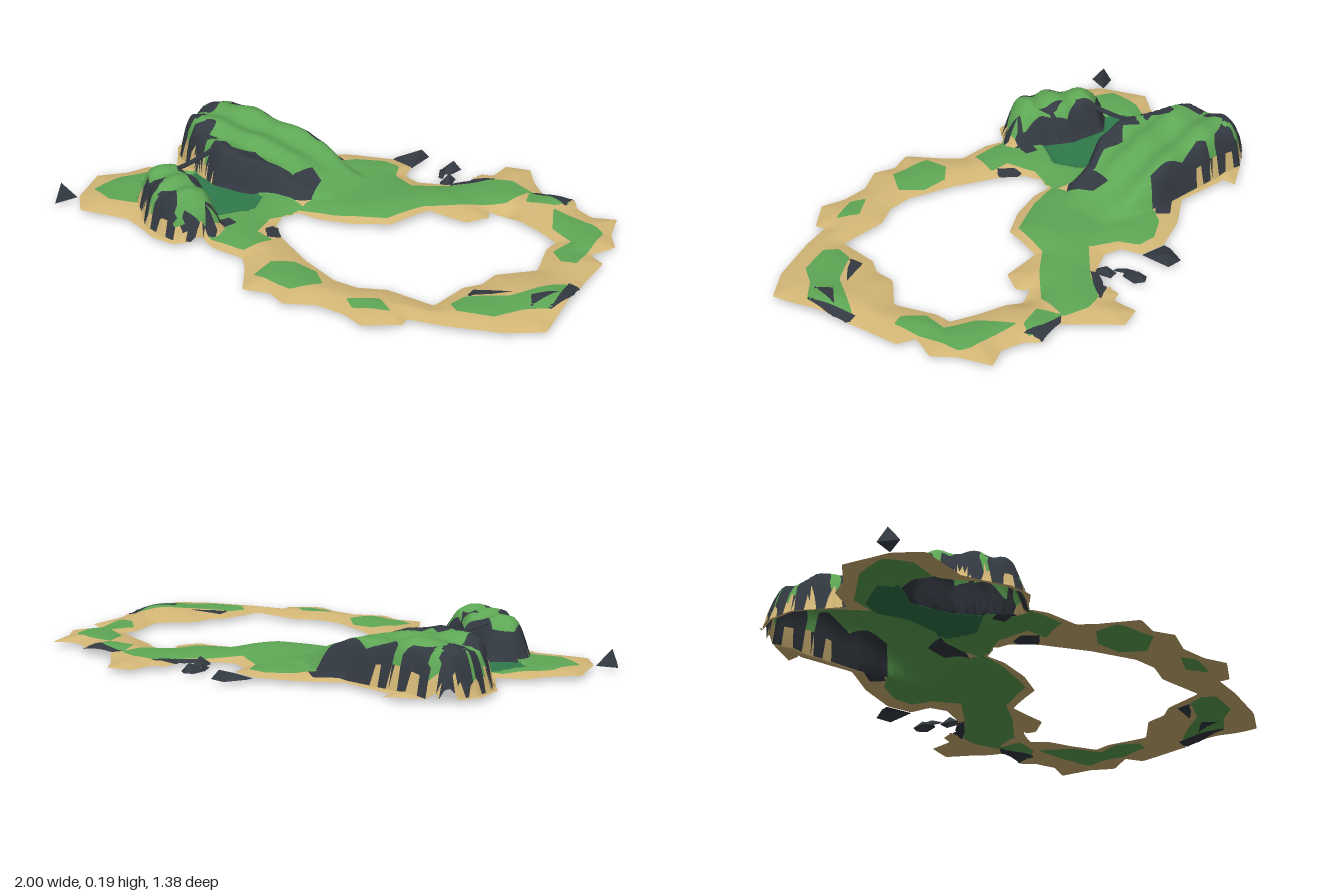
import * as THREE from 'three';

const paint = (name, color) => Object.assign(new THREE.MeshStandardMaterial({ color }), { name });

// Outline from a flat list of x, z pairs, with inside and nearest-edge tests
function outline(...n) {
  const p = [];
  for (let i = 0; i < n.length; i += 2) p.push([n[i], n[i + 1]]);
  const inside = (x, z) => {
    let hit = false;
    p.forEach(([ax, az], i) => {
      const [bx, bz] = p[(i + 1) % p.length];
      if ((az > z) !== (bz > z) && x < ax + (bx - ax) * (z - az) / (bz - az)) hit = !hit;
    });
    return hit;
  };
  const nearest = (x, z) => {
    const best = { d: Infinity, x, z, along: 0 };
    let run = 0;
    p.forEach(([ax, az], i) => {
      const [bx, bz] = p[(i + 1) % p.length], dx = bx - ax, dz = bz - az;
      const len = Math.hypot(dx, dz);
      const t = Math.min(1, Math.max(0, ((x - ax) * dx + (z - az) * dz) / (len * len)));
      const qx = ax + dx * t, qz = az + dz * t, d = Math.hypot(x - qx, z - qz);
      if (d < best.d) Object.assign(best, { d, x: qx, z: qz, along: run + t * len });
      run += len;
    });
    return best;
  };
  return { inside, nearest };
}

// Shoreline and lagoon
const shore = outline(-.94, -.18, -.85, -.25, -.73, -.33, -.72, -.28, -.5, -.27, -.37, -.37, -.22, -.44, -.12, -.43,
  -.09, -.355, -.02, -.34, .07, -.39, .12, -.48, .12, -.55, .165, -.57, .155, -.665, .245, -.7, .31, -.63, .41, -.55,
  .53, -.585, .57, -.54, .65, -.52, .73, -.565, .78, -.45, .845, -.38, .81, -.275, .88, -.25, .905, -.105, .945, .055,
  1, .265, .89, .36, .705, .45, .59, .49, .605, .525, .5, .62, .41, .6, .3, .61, .2, .675, .12, .65, .03, .69,
  -.065, .575, -.12, .525, -.25, .535, -.32, .515, -.385, .605, -.475, .615, -.58, .585, -.65, .57, -.835, .63,
  -.92, .555, -.995, .39, -.925, .295, -.9, .21, -.81, .15, -.89, .06, -.94, .01, -.965, -.105);
const lagoon = outline(-.2, .135, -.12, .13, .01, .08, .125, 0, .165, -.175, .32, -.195, .36, -.28, .33, -.32,
  .385, -.345, .555, -.31, .66, -.275, .665, -.21, .73, -.065, .635, .055, .64, .135, .605, .2, .605, .36,
  .415, .375, .325, .43, .23, .44, .06, .395, -.12, .32, -.2, .26, -.22, .2);

// Feet of the two hills
const bigFoot = outline(-.95, -.1, -.93, -.2, -.85, -.25, -.7, -.255, -.5, -.255, -.38, -.268, -.3, -.25, -.15, -.22,
  -.13, -.02, -.2, .04, -.25, .08, -.36, .1, -.45, .16, -.58, .18, -.7, .15, -.8, .11, -.88, .06, -.93, -.01);
const smallFoot = outline(-.73, .36, -.65, .29, -.5, .31, -.385, .375, -.3, .42, -.29, .47, -.33, .54, -.4, .59,
  -.47, .59, -.56, .57, -.62, .52, -.7, .47, -.735, .42);

// Coloured areas
const hollow = outline(-.77, .2, -.81, .325, -.72, .37, -.4, .38, -.325, .235, -.37, .14, -.62, .1);
const lowland = outline(-.81, .19, -.9, .35, -.91, .49, -.8, .52, -.67, .47, -.5, .5, -.27, .5, -.15, .49, -.12, .365,
  -.2, .36, -.24, .25, -.2, .1, -.3, .08, -.6, .1);
const meadow = outline(-.83, -.1, -.85, -.15, -.8, -.18, -.75, -.2, -.72, -.23, -.66, -.19, -.55, -.22, -.48, -.2,
  -.4, -.2, -.36, -.25, -.315, -.33, -.225, -.39, -.15, -.39, -.11, -.32, 0, -.28, .12, -.41, .2, -.53, .27, -.555,
  .37, -.53, .35, -.4, .245, -.28, .14, -.185, .095, -.015, -.075, .08, -.21, .125, -.22, .03, -.25, -.05,
  -.31, -.07, -.33, .02, -.42, .06, -.5, .04, -.56, .1, -.64, .06, -.7, .08, -.72, .01, -.8, .02, -.83, -.04);
const smallTop = outline(-.7, .38, -.64, .33, -.58, .37, -.5, .34, -.42, .4, -.34, .42, -.36, .46, -.32, .5,
  -.41, .55, -.46, .5, -.53, .53, -.56, .45, -.62, .48, -.68, .43);
const grassPatches = [
  outline(.52, -.46, .72, -.45, .76, -.43, .79, -.3, .82, -.17, .77, -.15, .7, -.2, .71, -.3, .6, -.34),
  outline(.37, -.52, .42, -.56, .54, -.54, .51, -.48, .41, -.44),
  outline(.88, -.02, .94, .02, .94, .15, .87, .22, .82, .31, .7, .36, .65, .33, .66, .26, .78, .17, .84, .06),
  outline(-.01, .5, .05, .44, .15, .44, .23, .5, .17, .6, 0, .6),
  outline(.36, .53, .45, .46, .53, .5, .41, .56),
];
const rockPatches = [
  outline(.06, -.42, .13, -.5, .2, -.54, .17, -.48, .1, -.39),
  outline(.37, -.52, .42, -.565, .52, -.585, .54, -.51, .46, -.53),
  outline(.88, -.04, .925, -.05, .94, .02, .94, .17, .92, .09),
  outline(.84, .13, .9, .05, .88, .18),
  outline(.65, .2, .77, .14, .72, .2, .66, .25),
  outline(-.2, .28, -.15, .27, -.12, .33, -.15, .36, -.2, .32),
  outline(-.36, .39, -.35, .35, -.3, .36, -.31, .42),
  outline(-.48, -.24, -.39, -.315, -.34, -.29, -.4, -.22),
  outline(-.53, .39, -.46, .37, -.42, .42, -.48, .41),
];
const regions = [shore, lagoon, bigFoot, smallFoot, hollow, lowland, meadow, smallTop, ...grassPatches, ...rockPatches];

// Height of the ground
const CLIFF = .055;
const ease = t => 1 - (1 - Math.max(0, Math.min(1, t))) ** 2;
const mound = (x, z, cx, cz, r) => Math.exp(-((x - cx) ** 2 + (z - cz) ** 2) / (r * r));
const ridge = [[-1, .13], [-.93, .145], [-.85, .178], [-.72, .18], [-.6, .16], [-.45, .143], [-.38, .12], [-.3, .08],
  [-.2, .045], [-.1, .03]];
function ridgeHeight(x) {
  const i = Math.max(1, ridge.findIndex(r => r[0] >= x));
  const [ax, ay] = ridge[i - 1], [bx, by] = ridge[i];
  return ay + (by - ay) * (x - ax) / (bx - ax);
}
function height(x, z) {
  const edge = Math.min(shore.nearest(x, z).d, lagoon.nearest(x, z).d);
  let y = .015 + .018 * ease(edge / .13) + .02 * mound(x, z, .9, .08, .1) + .015 * mound(x, z, .05, -.12, .15)
    + .015 * mound(x, z, .47, -.54, .08) - .015 * mound(x, z, .385, -.345, .05);
  if (hollow.inside(x, z)) y -= .008;
  if (bigFoot.inside(x, z)) {
    const bumps = .009 * Math.cos((z + .1) * 42 + x * 6) + .005 * Math.sin(x * 31 + z * 9);
    const top = ridgeHeight(x) + bumps * ease((-.25 - x) / .2);
    y += Math.max(0, top - y) * ease(bigFoot.nearest(x, z).d / CLIFF);
  }
  if (smallFoot.inside(x, z)) {
    const { d } = smallFoot.nearest(x, z);
    const top = (.13 + .045 * ease(d / .14) + .007 * Math.sin(x * 50 + z * 20)) * (.35 + .65 * ease((-.27 - x) / .16));
    y += Math.max(0, top - y) * ease(d / CLIFF);
  }
  return y;
}

// Colour of the ground: 0 sand, 1 grass, 2 hollow, 3 rock
const tooth = (s, step) => Math.abs((s / step) % 1 * 2 - 1);
function cliffColour(foot, x, z, weathered) {
  const { d, along } = foot.nearest(x, z), t = d / CLIFF;
  if (weathered && t < .38 * tooth(along, .085) ** 1.5) return 0;
  return weathered && t > .25 && tooth(along, .17) > .8 ? 1 : 3;
}
function colourAt(x, z) {
  const has = r => r.inside(x, z);
  if (rockPatches.some(has)) return 3;
  if (has(smallTop) || has(meadow) || grassPatches.some(has)) return 1;
  if (has(smallFoot)) return cliffColour(smallFoot, x, z, z > .42);
  if (has(bigFoot)) return x > -.19 ? 1 : cliffColour(bigFoot, x, z, x < -.6);
  if (has(hollow)) return 2;
  return has(lowland) ? 1 : 0;
}

// Ground grid whose points slide onto the nearest outline, sorted into one geometry per colour
function groundGeometries() {
  const cell = .0125, nx = 164, nz = 116, pos = [], onEdge = [], faces = [[], [], [], []];
  for (let j = 0; j <= nz; j++) for (let i = 0; i <= nx; i++) {
    let x = (i - nx / 2) * cell, z = (j - nz / 2) * cell;
    const near = regions.map(r => r.nearest(x, z)).reduce((a, b) => (b.d < a.d ? b : a));
    onEdge.push(near.d < cell * .52);
    if (near.d < cell * .52) ({ x, z } = near);
    pos.push(x, height(x, z), z);
  }
  const add = (...t) => {
    const x = t.reduce((s, k) => s + pos[k * 3], 0) / 3, z = t.reduce((s, k) => s + pos[k * 3 + 2], 0) / 3;
    if (shore.inside(x, z) && !lagoon.inside(x, z)) faces[colourAt(x, z)].push(...t);
  };
  for (let j = 0; j < nz; j++) for (let i = 0; i < nx; i++) {
    const a = j * (nx + 1) + i, b = a + 1, c = a + nx + 1, d = c + 1;
    // Run the diagonal along an outline where one passes
    if (onEdge[a] && onEdge[d]) { add(a, c, d); add(a, d, b); } else { add(a, c, b); add(b, c, d); }
  }
  const whole = new THREE.BufferGeometry();
  whole.setAttribute('position', new THREE.Float32BufferAttribute(pos, 3));
  whole.setIndex(faces.flat());
  whole.computeVertexNormals();
  return faces.map(index => whole.clone().setIndex(index).toNonIndexed());
}

// Faceted shard: a foot outline joined to one peak
function shard([px, py, pz], ...foot) {
  const pos = foot.flatMap(([x, z], i) => {
    const [nx, nz] = foot[(i + 1) % foot.length];
    return [nx, .012, nz, x, .012, z, px, py, pz];
  });
  const geo = new THREE.BufferGeometry();
  geo.setAttribute('position', new THREE.Float32BufferAttribute(pos, 3));
  geo.computeVertexNormals();
  return geo;
}

export function createModel() {
  const island = new THREE.Group();
  island.name = 'island';
  const mats = [paint('sand', 0xd5b877), paint('grass', 0x5fa856), paint('hollowGreen', 0x317a4c), paint('rock', 0x343a42)];
  mats.forEach(m => { m.side = THREE.DoubleSide; });
  const add = (name, geo, mat) => {
    const mesh = new THREE.Mesh(geo, mat);
    mesh.name = name;
    island.add(mesh);
  };

  // Beach, grass, hollow and cliffs
  const names = ['beach', 'grass', 'hollow', 'cliffs'];
  groundGeometries().forEach((geo, i) => add(names[i], geo, mats[i]));

  // Loose rocks off the shore
  [
    shard([-.15, .045, -.53], [-.195, -.55], [-.13, -.55], [-.12, -.43], [-.225, -.44], [-.225, -.47]),
    shard([.005, .045, -.53], [-.03, -.54], [0, -.56], [.035, -.54], [.03, -.48], [0, -.46], [-.025, -.49]),
    shard([.005, .03, -.47], [-.03, -.49], [.01, -.47], [.03, -.43], [.01, -.43]),
    shard([.06, .045, -.43], [.03, -.45], [.07, -.46], [.09, -.39], [.06, -.38], [.04, -.4]),
    shard([-.965, .075, .6], [-1, .59], [-.925, .56], [-.95, .65]),
  ].forEach(geo => add('shoreRock', geo, mats[3]));

  // Thin sagging bridge between the hills
  const deck = new THREE.BoxGeometry(.024, .004, .26, 1, 1, 10).translate(-.615, .152, .22);
  const p = deck.attributes.position;
  for (let i = 0; i < p.count; i++) {
    const k = (p.getZ(i) - .22) / .13;
    p.setXYZ(i, p.getX(i) + k * .012, p.getY(i) - .007 * (1 - k * k), p.getZ(i));
  }
  deck.computeVertexNormals();
  add('bridge', deck, mats[3]);
  return island;
}
